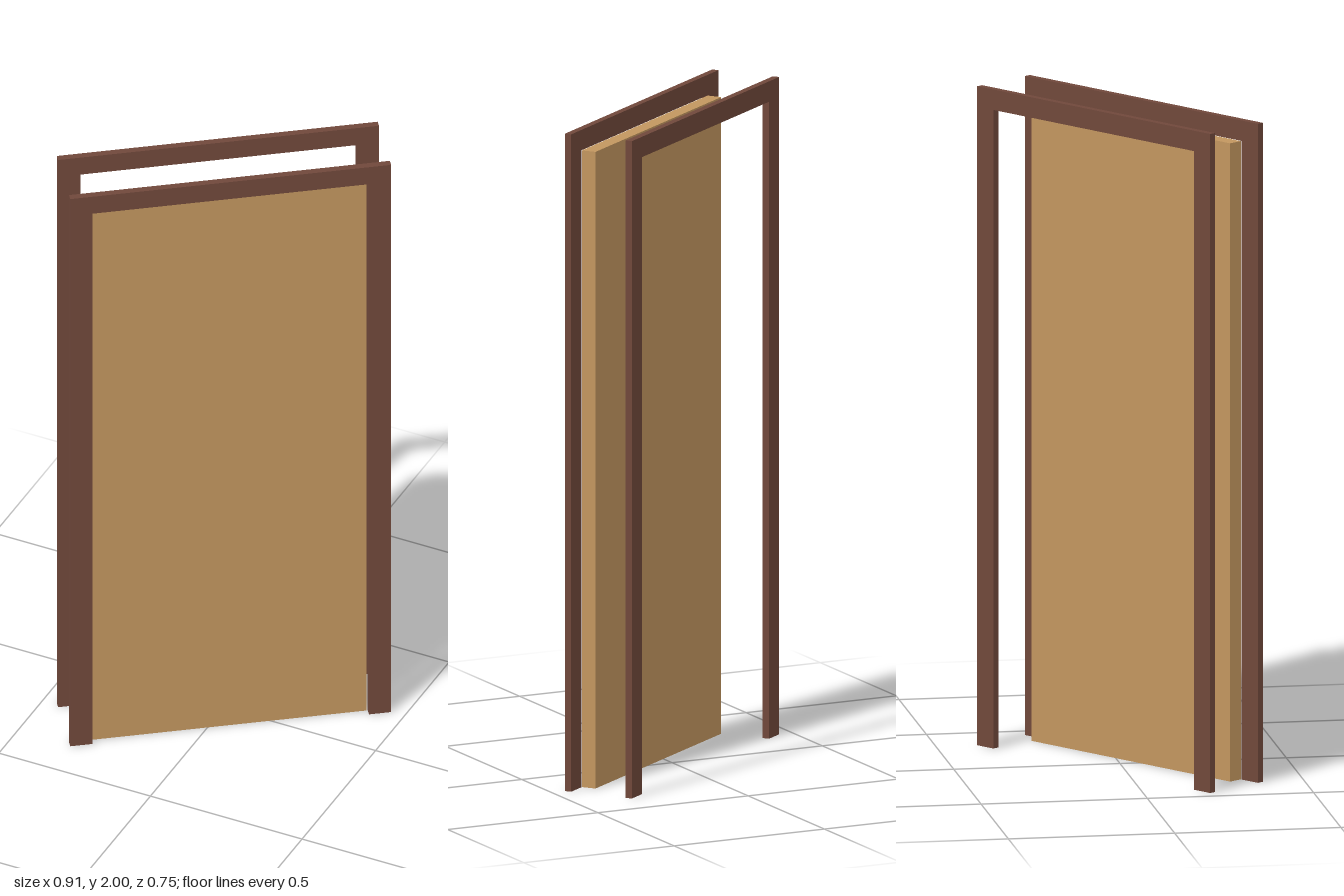
import * as THREE from 'three';

const W = 0.484;        // half width of a frame
const POST = 0.067;     // post face width
const HEAD = 0.062;     // header height
const T = 0.021;        // frame thickness
const Z = 0.101;        // frame offset from the centre of the wall

// U-shaped door casing, open at the floor, centred on its own thickness
function casing(name, material) {
  const inner = W - POST, top = 2 - HEAD;
  const shape = new THREE.Shape([
    [-W, 0], [-inner, 0], [-inner, top], [inner, top],
    [inner, 0], [W, 0], [W, 2], [-W, 2],
  ].map(([x, y]) => new THREE.Vector2(x, y)));
  const geometry = new THREE.ExtrudeGeometry(shape, { depth: T, bevelEnabled: false });
  geometry.translate(0, 0, -T / 2);
  const mesh = new THREE.Mesh(geometry, material);
  mesh.name = name;
  return mesh;
}

export function createModel() {
  const frameMat = new THREE.MeshStandardMaterial({ color: 0x70483b });
  const doorMat = new THREE.MeshStandardMaterial({ color: 0xc2965f });
  const model = new THREE.Group();
  model.name = 'doorway';

  // Everything stands at an angle to the axes
  const door = new THREE.Group();
  door.name = 'doorAssembly';
  door.rotation.y = THREE.MathUtils.degToRad(36.25);
  model.add(door);

  // Front and back casings
  for (const [name, side] of [['frontFrame', 1], ['backFrame', -1]]) {
    const frame = casing(name, frameMat);
    frame.position.z = side * Z;
    door.add(frame);
  }

  // Door leaf, resting against the back of the front casing
  const height = 1.937, depth = 0.045;
  const leaf = new THREE.Mesh(new THREE.BoxGeometry(0.826, height, depth), doorMat);
  leaf.name = 'doorPanel';
  leaf.position.set(0, height / 2, Z - T / 2 - depth / 2);
  door.add(leaf);

  return model;
}
